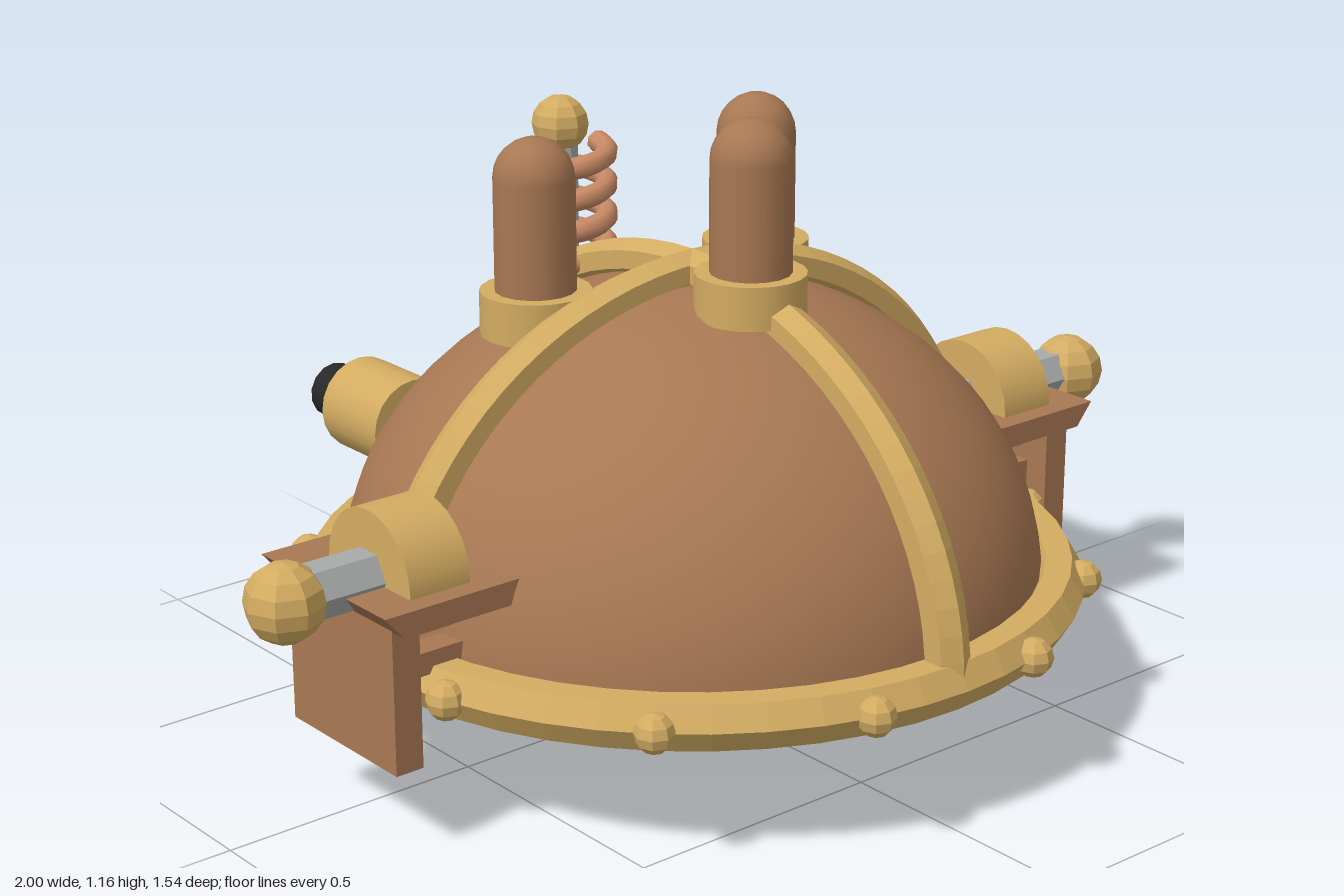
import * as THREE from 'three';

const mat = (name, color, opts = {}) => {
  const m = new THREE.MeshStandardMaterial({ color, ...opts });
  m.name = name;
  return m;
};

// Flat facets for the low-poly parts
const facet = (geo) => {
  const g = geo.toNonIndexed();
  g.computeVertexNormals();
  return g;
};

export function createModel() {
  const root = new THREE.Group();
  root.name = 'domedHelmet';
  const brown = mat('leatherBrown', 0xa87853, { side: THREE.DoubleSide });
  const brass = mat('brass', 0xd3ac62);
  const copper = mat('copper', 0xc98a66);
  const steel = mat('steel', 0xa9abab);
  const black = mat('black', 0x282828);

  const add = (name, geo, material, x = 0, y = 0, z = 0, parent = root) => {
    const m = new THREE.Mesh(geo, material);
    m.name = name;
    m.position.set(x, y, z);
    parent.add(m);
    return m;
  };

  // Thick open dome: outer wall up, inner wall down, flat lip
  const CZ = 0.032, BASE = 0.27, SQUASH = 0.86, STEPS = 20;
  const wall = (r) => Array.from({ length: STEPS + 1 }, (_, i) => {
    const a = (i / STEPS) * Math.PI / 2;
    return new THREE.Vector2(i === STEPS ? 0 : Math.cos(a) * r, Math.sin(a) * r * SQUASH);
  });
  const outer = wall(0.647), inner = wall(0.608).reverse();
  add('domeShell', new THREE.LatheGeometry([...outer, ...inner, outer[0].clone()], 48), brown, 0, BASE, CZ);

  // Two crossing six-sided ribs
  for (const [name, turn] of [['sideToSideRib', 0], ['frontToBackRib', Math.PI / 2]]) {
    const rib = add(name, facet(new THREE.TorusGeometry(0.676, 0.04, 6, 40, Math.PI)), brass, 0, BASE, CZ);
    rib.scale.y = SQUASH;
    rib.rotation.y = turn;
  }

  // Rim ring with rivets
  add('rimRing', facet(new THREE.TorusGeometry(0.678, 0.049, 6, 48).rotateX(Math.PI / 2)), brass, 0, BASE, CZ);
  for (let i = 0; i < 12; i++) {
    const a = (15 + 30 * i) * Math.PI / 180;
    add('rimRivet', facet(new THREE.SphereGeometry(0.036, 8, 6)), brass, Math.sin(a) * 0.723, BASE, CZ + Math.cos(a) * 0.723);
  }

  // Three domed tubes standing in collars
  for (const [x, z, collarY, top] of [[0, 0.192, 0.84, 1.157], [0.26, -0.092, 0.792, 1.11], [-0.26, -0.092, 0.792, 1.11]]) {
    const tube = new THREE.Group();
    tube.name = 'domedTube';
    tube.position.set(x, 0, z);
    root.add(tube);
    const r = 0.074, low = collarY - 0.04, high = top - r;
    add('tubeCollar', new THREE.CylinderGeometry(0.101, 0.101, 0.08, 20), brass, 0, collarY, 0, tube);
    add('tubeBody', new THREE.CylinderGeometry(r, r, high - low, 16, 1, true), brown, 0, (high + low) / 2, 0, tube);
    add('tubeCap', new THREE.SphereGeometry(r, 16, 6, 0, Math.PI * 2, 0, Math.PI / 2), brown, 0, high, 0, tube);
  }

  // Coil around a rod with a ball on top
  const coilPoints = [];
  for (let i = 0; i <= 100; i++) {
    const a = -(i / 100) * Math.PI * 10;
    coilPoints.push(new THREE.Vector3(Math.cos(a) * 0.087, 0.69 + 0.305 * i / 100, Math.sin(a) * 0.087));
  }
  add('coil', new THREE.TubeGeometry(new THREE.CatmullRomCurve3(coilPoints), 160, 0.021, 8), copper, 0, 0, -0.352);
  add('coilRod', facet(new THREE.CylinderGeometry(0.033, 0.033, 0.36, 8)), steel, 0, 0.84, -0.352);
  add('coilBall', facet(new THREE.SphereGeometry(0.054, 8, 8)), brass, 0, 1.043, -0.352);

  // Cross plate through the dome, with sloped ends
  const plate = new THREE.Shape([
    new THREE.Vector2(-0.8, 0.421), new THREE.Vector2(0.8, 0.421),
    new THREE.Vector2(0.837, 0.465), new THREE.Vector2(-0.837, 0.465),
  ]);
  add('crossPlate', new THREE.ExtrudeGeometry(plate, { depth: 0.37, bevelEnabled: false }), brown, 0, 0, -0.119);
  add('crossBar', new THREE.BoxGeometry(1.55, 0.042, 0.05), brown, 0, 0.32, 0.145);

  for (const s of [1, -1]) {
    const side = s > 0 ? 'left' : 'right';
    // Side bracket and electrode
    add(side + 'BracketPlate', new THREE.BoxGeometry(0.055, 0.27, 0.308), brown, s * 0.776, 0.295, 0.066);
    add(side + 'Disc', new THREE.CylinderGeometry(0.12, 0.12, 0.122, 24).rotateZ(Math.PI / 2), brass, s * 0.698, 0.471, 0.092);
    add(side + 'Rod', facet(new THREE.CylinderGeometry(0.05, 0.05, 0.32, 6).rotateZ(Math.PI / 2)), steel, s * 0.75, 0.473, 0.092);
    add(side + 'Ball', facet(new THREE.SphereGeometry(0.071, 8, 8)), brass, s * 0.93, 0.471, 0.097);
    // Rear pipe with dark nozzle
    add(side + 'RearPipe', new THREE.CylinderGeometry(0.092, 0.092, 0.18, 20).rotateX(Math.PI / 2), brass, s * 0.248, 0.458, -0.59);
    add(side + 'RearNozzle', new THREE.CylinderGeometry(0.055, 0.055, 0.15, 14).rotateX(Math.PI / 2), black, s * 0.248, 0.458, -0.7);
  }

  // Hanging strap, closed at both ends
  const strap = new THREE.QuadraticBezierCurve3(
    new THREE.Vector3(0, 0.157, 0.035), new THREE.Vector3(0.31, -0.118, 0.035), new THREE.Vector3(0.62, 0.157, 0.035));
  add('chinStrap', new THREE.TubeGeometry(strap, 24, 0.019, 8), black);
  for (const t of [0, 1]) {
    const end = add('strapEnd', new THREE.CircleGeometry(0.019, 8), black);
    end.position.copy(strap.getPoint(t));
    end.lookAt(end.position.clone().addScaledVector(strap.getTangent(t), t ? 1 : -1));
  }
  return root;
}
